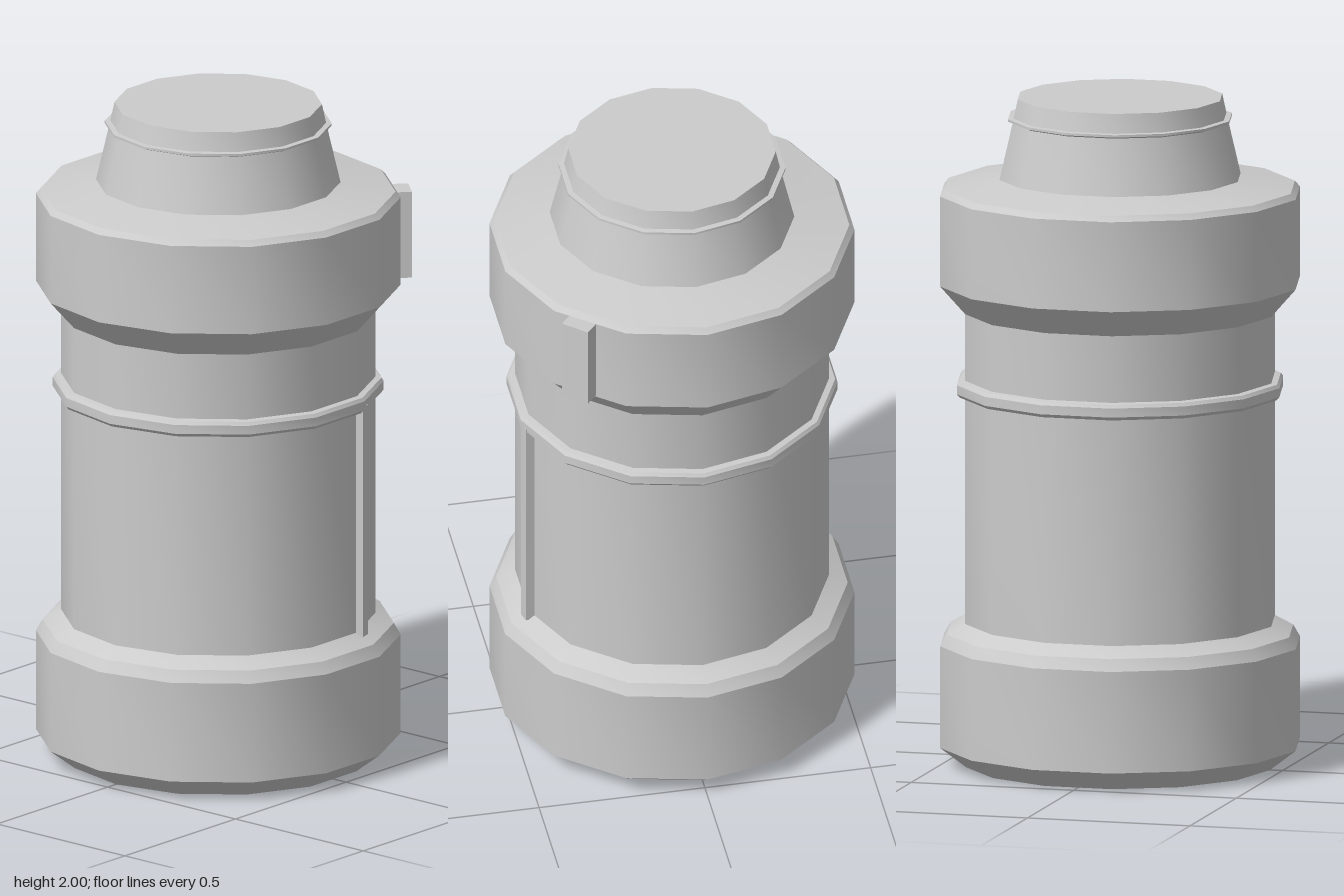
import * as THREE from 'three';
import { toCreasedNormals } from 'three/addons/utils/BufferGeometryUtils.js';

const SIDES = 14;
const material = new THREE.MeshStandardMaterial({ color: 0xcccccc });

// Turned part from [radius, height] pairs, listed bottom to top, with corners on the x axis
function turned(name, profile) {
  const points = profile.map(([r, y]) => new THREE.Vector2(r, y));
  const lathe = new THREE.LatheGeometry(points, SIDES);
  lathe.rotateY(Math.PI / 2);
  const mesh = new THREE.Mesh(toCreasedNormals(lathe, 0.5), material);
  mesh.name = name;
  return mesh;
}

// Upright bar on the outside of the shell; angle is measured from +z towards +x
function bar(name, angle, radius, width, depth, bottom, top) {
  const geometry = new THREE.BoxGeometry(width, top - bottom, depth);
  geometry.translate(0, (top + bottom) / 2, radius - depth / 2);
  const mesh = new THREE.Mesh(geometry, material);
  mesh.rotation.y = angle;
  mesh.name = name;
  return mesh;
}

export function createModel() {
  const group = new THREE.Group();
  group.name = 'canister';

  group.add(
    // Heavy foot with chamfered edges
    turned('base', [[0, 0], [0.462, 0], [0.54, 0.06], [0.54, 0.365], [0.52, 0.4], [0.465, 0.43]]),
    // Plain barrel
    turned('body', [[0.465, 0.43], [0.465, 1.36]]),
    // Narrow raised band around the barrel
    turned('band', [[0.465, 1.11], [0.481, 1.11], [0.49, 1.12], [0.49, 1.147], [0.483, 1.157], [0.465, 1.16]]),
    // Wide collar with sloping underside and shoulder
    turned('collar', [[0.465, 1.36], [0.54, 1.445], [0.54, 1.715], [0.525, 1.732], [0.362, 1.76]]),
    // Tapered neck and closed cap
    turned('neck', [[0.362, 1.76], [0.321, 1.935], [0.307, 2], [0, 2]]),
    // Thin lip around the neck
    turned('neckRing', [[0.318, 1.927], [0.336, 1.934], [0.336, 1.941], [0.316, 1.943]]),
  );

  // Vertical rib down the front, and the small catch on the collar
  group.add(
    bar('rib', 0.25, 0.487, 0.034, 0.04, 0.42, 1.13),
    bar('catch', 0.85, 0.573, 0.088, 0.1, 1.45, 1.715),
  );
  return group;
}
